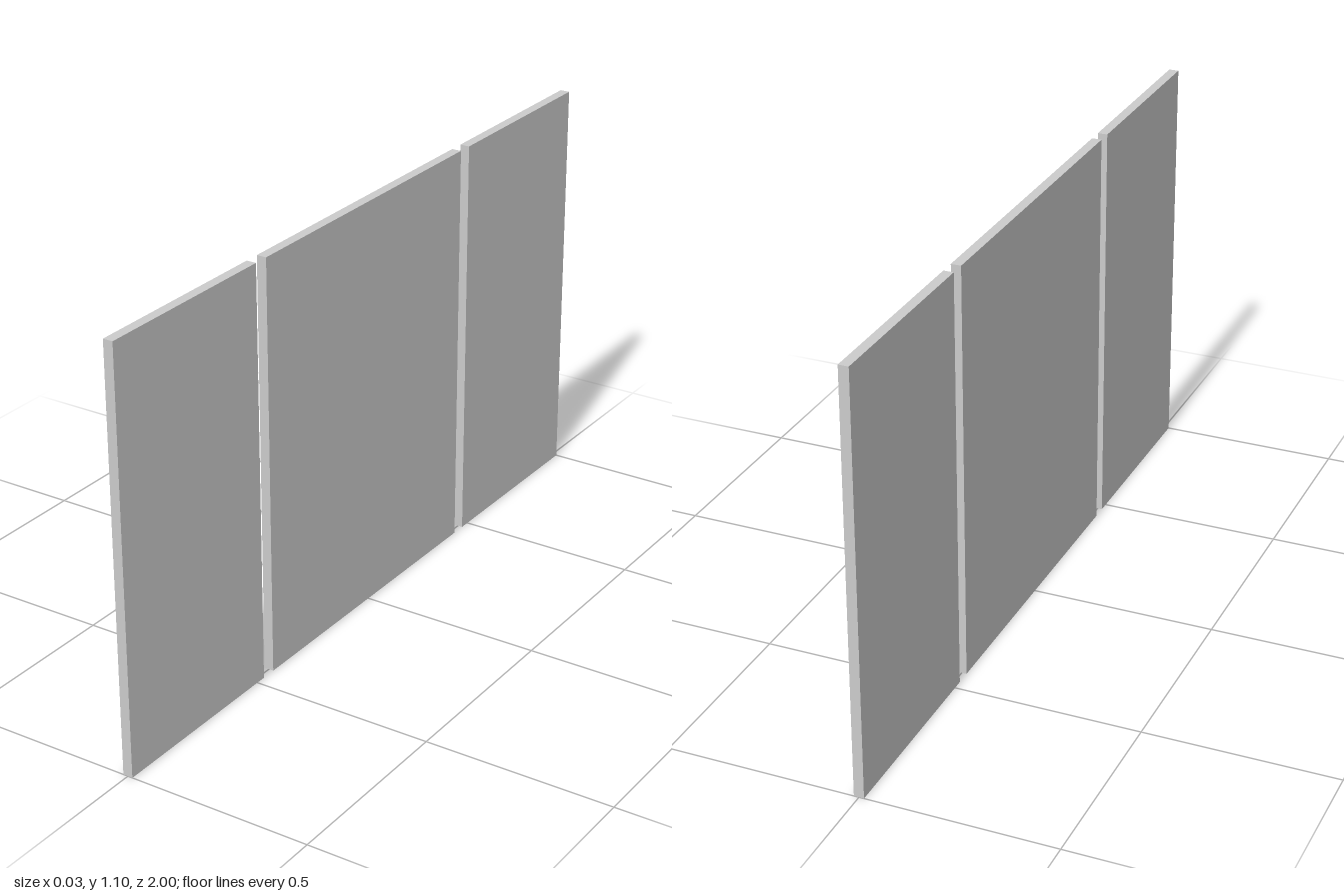
import * as THREE from 'three';

const HEIGHT = 1.1;
const THICKNESS = 0.026;
const CENTRE_HALF = 0.432; // half width of the middle panel
const SIDE_INNER = 0.472;  // inner edge of each side panel

export function createModel() {
  const group = new THREE.Group();
  group.name = 'threePanelSet';
  const material = new THREE.MeshStandardMaterial({ color: 0xcccccc, flatShading: true });

  // Upright slab spanning z0 to z1, standing on the ground
  const addPanel = (name, z0, z1) => {
    const panel = new THREE.Mesh(new THREE.BoxGeometry(THICKNESS, HEIGHT, z1 - z0), material);
    panel.name = name;
    panel.position.set(0, HEIGHT / 2, (z0 + z1) / 2);
    group.add(panel);
  };

  // Wide middle panel with a narrower one at each end
  addPanel('centrePanel', -CENTRE_HALF, CENTRE_HALF);
  addPanel('frontPanel', SIDE_INNER, 1);
  addPanel('backPanel', -1, -SIDE_INNER);

  return group;
}
